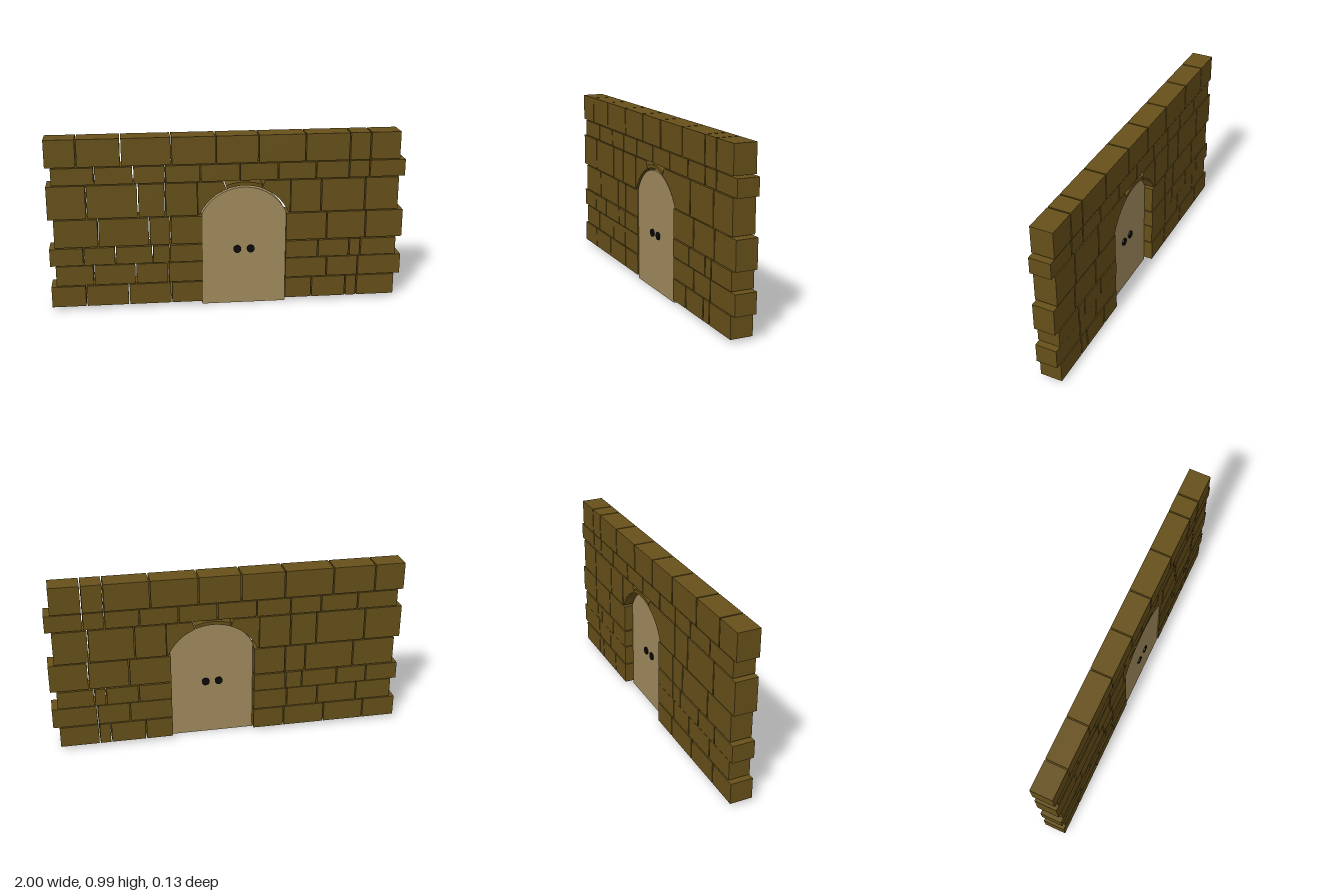
import * as THREE from 'three';

const stone = new THREE.MeshStandardMaterial({ color: 0x66501a, flatShading: true });
const wood = new THREE.MeshStandardMaterial({ color: 0xa08a5d });
const black = new THREE.MeshStandardMaterial({ color: 0x0a0a0a });

const GAP = 0.007;
const ARCH = { x: 0.088, y: 0.426, door: 0.264, inner: 0.275, outer: 0.295 };

// Each course: bottom, top, half depth, then runs of vertical joint positions
const courses = [
  [0.02, 0.14, 0.0625, [-1, -0.807, -0.567, -0.326, -0.147], [0.328, 0.481, 0.68, 0.746, 0.966]],
  [0.145, 0.26, 0.06, [-0.97, -0.76, -0.525, -0.342, -0.147], [0.328, 0.567, 0.749, 1]],
  [0.265, 0.365, 0.0625, [-1, -0.813, -0.636, -0.428, -0.332, -0.147], [0.328, 0.513, 0.695, 0.76, 0.966]],
  [0.371, 0.53, 0.06, [-0.97, -0.727, -0.444, -0.326, -0.147], [0.328, 0.561, 0.786, 1]],
  [0.537, 0.725, 0.0625, [-1, -0.786, -0.503, -0.353, -0.175], [0.351, 0.524, 0.775, 0.966]],
  [0.73, 0.825, 0.06, [-0.97, -0.737, -0.525, -0.35, -0.157, 0.063, 0.278, 0.492, 0.68, 0.797, 1]],
  [0.831, 0.985, 0.0625, [-1, -0.83, -0.59, -0.315, -0.07, 0.167, 0.43, 0.68, 0.797, 0.966]],
];

function extrude(name, shape, z0, z1, material) {
  const geo = new THREE.ExtrudeGeometry(shape, { depth: z1 - z0, bevelEnabled: false, curveSegments: 20 });
  geo.translate(0, 0, z0);
  const mesh = new THREE.Mesh(geo, material);
  mesh.name = name;
  return mesh;
}

// Stone beside the keystone, cut by the arch; side is -1 or 1
function archStone(side) {
  const bottom = 0.537, top = 0.725, r = ARCH.inner;
  const a0 = Math.asin((bottom - ARCH.y) / r);
  const a1 = Math.acos(0.1 / r);
  const X = (d) => ARCH.x + side * d;
  const s = new THREE.Shape();
  s.moveTo(X(0.26), bottom);
  s.lineTo(X(0.26), top);
  s.lineTo(X((top - ARCH.y) / Math.tan(a1)), top);
  for (let i = 0; i <= 12; i++) {
    const a = a1 + (a0 - a1) * i / 12;
    s.lineTo(X(r * Math.cos(a)), ARCH.y + r * Math.sin(a));
  }
  s.closePath();
  return extrude('archStone', s, -0.06, 0.06, stone);
}

export function createModel() {
  const model = new THREE.Group();

  // Wall of coursed blocks with open joints
  const wall = new THREE.Group();
  wall.name = 'stoneWall';
  model.add(wall);
  for (const [y0, y1, d, ...runs] of courses) {
    for (const joints of runs) {
      for (let i = 0; i < joints.length - 1; i++) {
        const a = joints[i] + (i ? GAP / 2 : 0);
        const last = i === joints.length - 2;
        const b = joints[i + 1] - (last ? 0 : GAP / 2);
        const block = new THREE.Mesh(new THREE.BoxGeometry(b - a, y1 - y0, 2 * d), stone);
        block.name = 'wallBlock';
        block.position.set((a + b) / 2, (y0 + y1) / 2, 0);
        wall.add(block);
      }
    }
  }

  // Arch over the doorway
  wall.add(archStone(-1), archStone(1));
  const k = new THREE.Shape();
  const t = Math.acos(0.096 / ARCH.inner);
  k.absarc(ARCH.x, ARCH.y, ARCH.outer, t, Math.PI - t, false);
  k.absarc(ARCH.x, ARCH.y, ARCH.inner, Math.PI - t, t, true);
  k.closePath();
  wall.add(extrude('keystone', k, -0.06, 0.06, stone));

  // Door with a segmental top
  const half = 0.238;
  const spring = Math.acos(half / ARCH.door);
  const ds = new THREE.Shape();
  ds.moveTo(ARCH.x - half, 0);
  ds.lineTo(ARCH.x + half, 0);
  ds.absarc(ARCH.x, ARCH.y, ARCH.door, spring, Math.PI - spring, false);
  ds.closePath();
  model.add(extrude('door', ds, -0.01, 0.055, wood));

  // Round knobs showing on both faces
  for (const x of [0.05, 0.126]) {
    const knob = new THREE.Mesh(new THREE.CylinderGeometry(0.022, 0.022, 0.081, 24), black);
    knob.name = 'doorKnob';
    knob.rotation.x = Math.PI / 2;
    knob.position.set(x, 0.327, 0.0225);
    model.add(knob);
  }
  return model;
}
